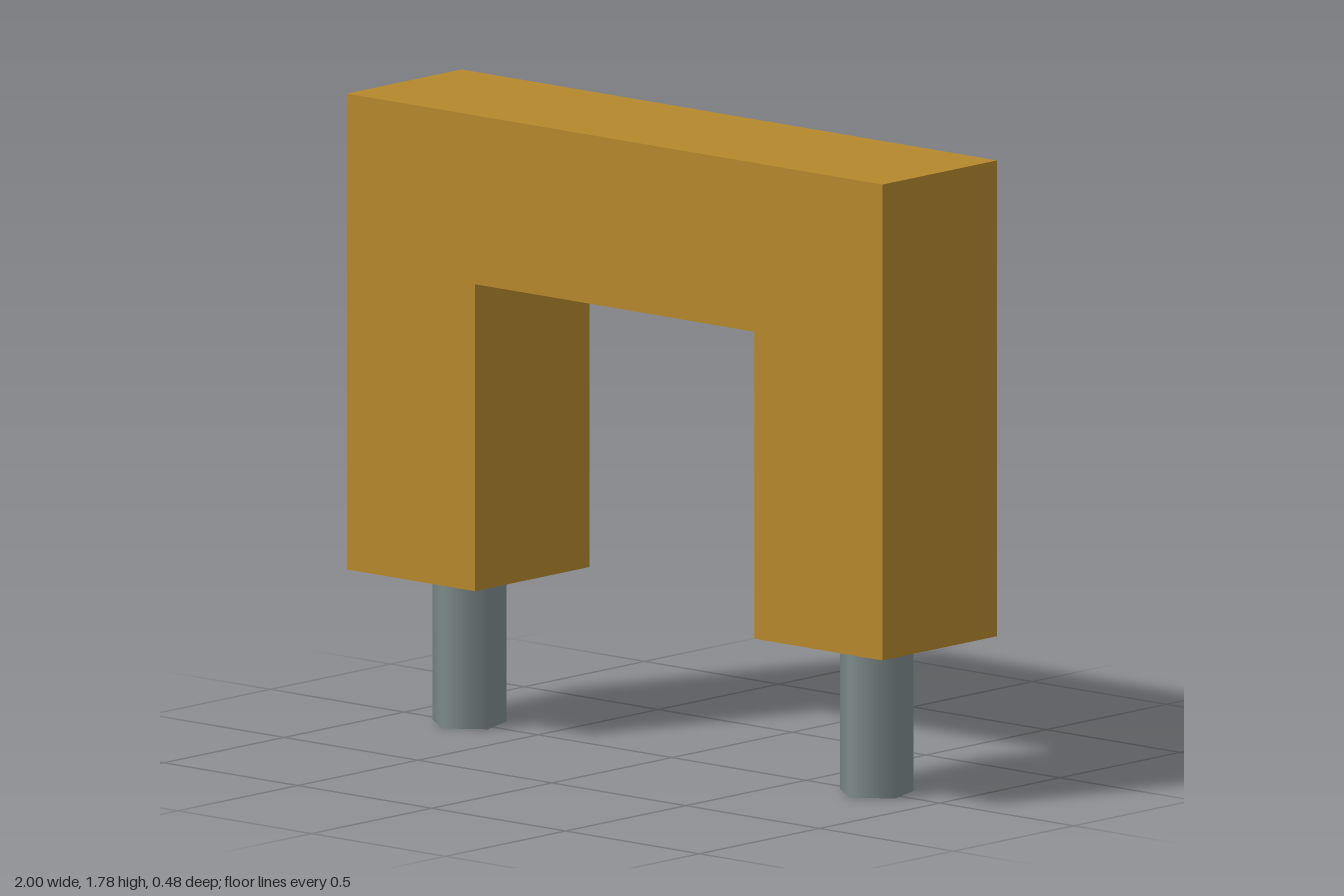
import * as THREE from 'three';

export function createModel() {
  const group = new THREE.Group();
  const brass = new THREE.MeshStandardMaterial({ color: 0xb6882d });
  const steel = new THREE.MeshStandardMaterial({ color: 0x7f8c8d });

  const depth = 0.477, bottom = 0.438, top = 1.785;
  const innerX = 0.522, innerTop = 1.307;

  // Arched body: one U-shaped outline, extruded front to back
  const outline = new THREE.Shape([
    [-1, bottom], [-innerX, bottom], [-innerX, innerTop], [innerX, innerTop],
    [innerX, bottom], [1, bottom], [1, top], [-1, top],
  ].map(([x, y]) => new THREE.Vector2(x, y)));
  const bodyGeo = new THREE.ExtrudeGeometry(outline, { depth, bevelEnabled: false });
  bodyGeo.translate(0, 0, -depth / 2);
  const body = new THREE.Mesh(bodyGeo, brass);
  body.name = 'archBody';
  group.add(body);

  // Five-sided, smooth-shaded pin under each leg, one corner to the front
  const pinGeo = new THREE.CylinderGeometry(0.108, 0.108, bottom, 5);
  for (const side of [-1, 1]) {
    const pin = new THREE.Mesh(pinGeo, steel);
    pin.name = side > 0 ? 'leftPin' : 'rightPin';
    pin.position.set(side * 0.761, bottom / 2, 0);
    group.add(pin);
  }

  return group;
}
